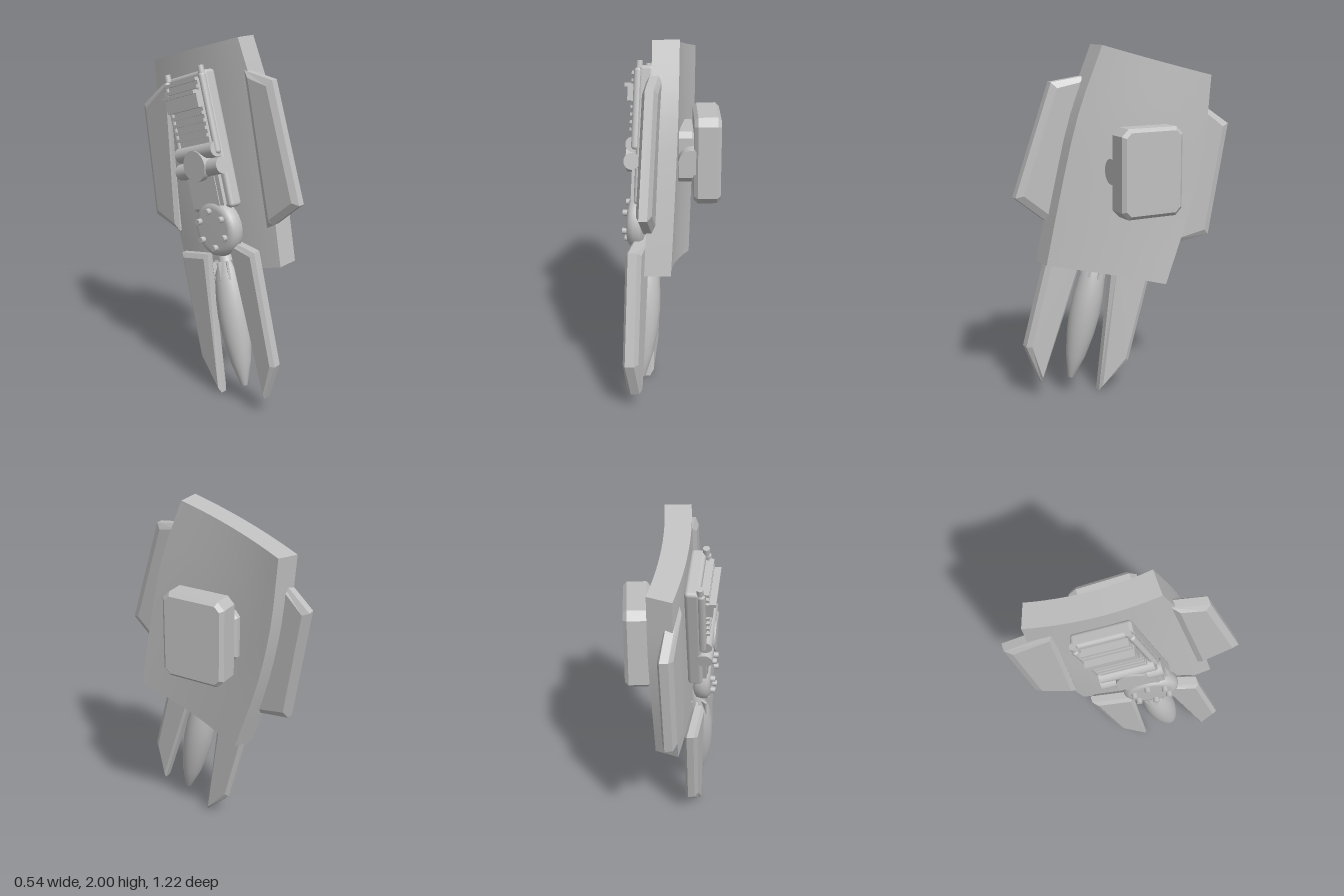
import * as THREE from 'three';
import { RoundedBoxGeometry } from 'three/addons/geometries/RoundedBoxGeometry.js';

const V = (x, y, z) => new THREE.Vector3(x, y, z);

export function createModel() {
  const model = new THREE.Group();
  const grey = new THREE.MeshStandardMaterial({ color: 0xbfbfbf });
  grey.name = 'plain grey';

  const add = (parent, name, geometry, x = 0, y = 0, z = 0) => {
    const mesh = new THREE.Mesh(geometry, grey);
    mesh.name = name;
    mesh.position.set(x, y, z);
    parent.add(mesh);
    return mesh;
  };
  const box = (w, h, d) => new THREE.BoxGeometry(w, h, d);

  // Chamfered slab from an outline of [z, y] points, sheared in x
  const slab = (name, points, thickness, bevel, xAt) => {
    const shape = new THREE.Shape(points.map(([z, y]) => new THREE.Vector2(z, y)));
    const chamfer = 0.018;
    const depth = thickness - 2 * chamfer;
    const geo = new THREE.ExtrudeGeometry(shape, {
      depth, bevelThickness: chamfer, bevelSize: bevel, bevelOffset: -bevel, bevelSegments: 1,
    });
    geo.translate(0, 0, -depth / 2);
    geo.rotateY(-Math.PI / 2);
    const p = geo.attributes.position;
    for (let i = 0; i < p.count; i++) p.setX(i, p.getX(i) + xAt(p.getZ(i), p.getY(i)));
    geo.computeVertexNormals();
    return add(model, name, geo);
  };

  // Curved main plate, lofted between its front and back edges
  const frontEdge = new THREE.CatmullRomCurve3(
    [V(0.04, 2, 0.17), V(0.03, 1.64, 0.31), V(0.01, 1.2, 0.415), V(-0.01, 0.83, 0.49)]);
  const backEdge = new THREE.CatmullRomCurve3(
    [V(0.145, 1.83, -0.45), V(0.14, 1.45, -0.415), V(0.125, 1.1, -0.34), V(0.105, 0.66, -0.195)]);
  const plate = new THREE.BoxGeometry(1, 1, 1, 1, 9, 12);
  const pos = plate.attributes.position;
  for (let i = 0; i < pos.count; i++) {
    const u = 0.5 - pos.getZ(i), t = 0.5 - pos.getY(i), inner = 0.5 - pos.getX(i);
    const q = frontEdge.getPoint(t).lerp(backEdge.getPoint(t), u);
    q.x -= 0.12 * u * (1 - u) + inner * (0.14 - 0.015 * u);
    q.y -= inner * 0.01 * u;
    q.z -= inner * 0.045 * u;
    pos.setXYZ(i, q.x, q.y, q.z);
  }
  plate.computeVertexNormals();
  add(model, 'mainPlate', plate);

  // Side wings
  slab('frontWing', [[0.22, 1.835], [0.4, 1.03], [0.44, 1.05], [0.612, 1.19], [0.41, 1.805]],
    0.08, 0.035, (z, y) => -0.115 - 0.14 * (z - 0.41) + 0.015 * (y - 1.8));
  slab('backWing', [[-0.36, 1.73], [-0.605, 1.55], [-0.5, 0.912], [-0.28, 0.86]],
    0.08, 0.035, (z) => 0.067 - 0.25 * (z + 0.605));

  // Lower blades
  slab('frontBlade', [[0.17, 0.93], [0.455, 0.09], [0.535, 0.31], [0.38, 0.91]],
    0.085, 0.025, (z, y) => -0.205 - 0.26 * (z - 0.4) - 0.03 * (y - 0.5));
  slab('backBlade', [[0.02, 0.81], [-0.21, 0.76], [-0.055, 0.17], [0.117, 0]],
    0.075, 0.025, (z, y) => -0.145 - 0.25 * (z - 0.117) - 0.03 * y);

  // Tapered dart between the blades
  const dart = new THREE.Group();
  dart.name = 'dart';
  dart.position.set(-0.17, 0.1, 0.278);
  dart.quaternion.setFromUnitVectors(V(0, 1, 0), V(0.03, 0.7, -0.155).normalize());
  model.add(dart);
  const profile = [[0, 0], [0.018, 0], [0.058, 0.14], [0.08, 0.28], [0.088, 0.4],
    [0.085, 0.5], [0.07, 0.64], [0.04, 0.71], [0.03, 0.78], [0, 0.78]];
  add(dart, 'dartBody', new THREE.LatheGeometry(profile.map(([r, y]) => new THREE.Vector2(r, y)), 28));
  for (let i = 0; i < 4; i++) {
    const fin = add(dart, 'dartFin', box(0.15, 0.1, 0.012), 0, 0.66, 0);
    fin.rotation.y = (i * Math.PI) / 4;
  }

  // Tilted frame on the plate: local z points outward, local y up the plate
  const out = V(-0.985, 0, -0.17).normalize();
  const up = V(0.05, 0.955, -0.29);
  up.addScaledVector(out, -up.dot(out)).normalize();
  const basis = new THREE.Matrix4().makeBasis(up.clone().cross(out), up, out);
  const tilted = (name, x, y, z) => {
    const g = new THREE.Group();
    g.name = name;
    g.position.set(x, y, z);
    g.quaternion.setFromRotationMatrix(basis);
    model.add(g);
    return g;
  };

  // Launcher: base, rails, louvres, shelf and cross rollers
  const launcher = tilted('launcher', -0.135, 1.43, -0.035);
  add(launcher, 'launcherBase', new RoundedBoxGeometry(0.32, 0.74, 0.08, 2, 0.02), 0, 0, -0.01);
  add(launcher, 'upperBlock', box(0.24, 0.4, 0.03), 0, 0.13, 0.04);
  for (const s of [-1, 1]) {
    const rail = add(launcher, 'sideRail', new THREE.CapsuleGeometry(0.018, 0.4, 4, 12), s * 0.145, 0.14, 0.035);
    rail.scale.z = 1.2;
    add(launcher, 'topStud', new THREE.CylinderGeometry(0.018, 0.018, 0.04, 12), s * 0.14, 0.375, 0.03);
    add(launcher, 'lowerRail', box(0.03, 0.2, 0.03), s * 0.11, -0.25, 0.035);
  }
  for (const y of [0.33, 0.29, 0.15, 0.11, 0.07, 0.03]) {
    add(launcher, 'louvre', box(0.25, 0.018, 0.025), 0, y, 0.06);
  }
  add(launcher, 'shelf', box(0.26, 0.09, 0.045), 0, 0.225, 0.068);
  add(launcher, 'shelfLip', box(0.26, 0.02, 0.035), 0, 0.265, 0.09);
  for (const [y, r, w] of [[-0.05, 0.042, 0.3], [-0.14, 0.045, 0.34]]) {
    const roller = add(launcher, 'crossRoller', new THREE.CylinderGeometry(r, r, w, 20), 0, y, 0.045);
    roller.rotation.z = Math.PI / 2;
  }
  const hub = add(launcher, 'rollerHub', new THREE.CylinderGeometry(0.085, 0.085, 0.06, 28), 0, -0.12, 0.065);
  hub.rotation.x = Math.PI / 2;
  add(launcher, 'lowerBlock', box(0.19, 0.16, 0.04), 0, -0.27, 0.035);

  // Round cap with a ring of studs
  const cap = tilted('roundCap', -0.185, 0.985, 0.11);
  const rim = [[0, -0.05], [0.13, -0.05], [0.15, -0.035], [0.155, 0], [0.148, 0.025],
    [0.13, 0.04], [0.11, 0.042], [0, 0.042]];
  add(cap, 'capDisc', new THREE.LatheGeometry(rim.map(([r, y]) => new THREE.Vector2(r, y)), 36))
    .rotation.x = Math.PI / 2;
  for (let i = 0; i < 6; i++) {
    const a = (i / 6) * Math.PI * 2 + 0.5;
    add(cap, 'capStud', new THREE.CylinderGeometry(0.017, 0.017, 0.04, 12),
      0.1 * Math.cos(a), 0.1 * Math.sin(a), 0.048).rotation.x = Math.PI / 2;
  }

  // Grip pad with its chamfered mount and hinge pin
  const chamferBox = (w, h, d, c, cd) => {
    const a = w / 2, b = h / 2;
    const s = new THREE.Shape([[-a + c, -b], [a - c, -b], [a, -b + c], [a, b - c],
      [a - c, b], [-a + c, b], [-a, b - c], [-a, -b + c]].map(([x, y]) => new THREE.Vector2(x, y)));
    const g = new THREE.ExtrudeGeometry(s, {
      depth: d - 2 * cd, bevelThickness: cd, bevelSize: cd, bevelOffset: -cd, bevelSegments: 1,
    });
    g.translate(0, 0, cd - d / 2);
    g.rotateY(Math.PI / 2);
    return g;
  };
  add(model, 'gripPad', chamferBox(0.37, 0.485, 0.145, 0.04, 0.02), 0.192, 1.333, -0.02);
  add(model, 'padMount', chamferBox(0.29, 0.285, 0.1, 0.03, 0.015), 0.075, 1.333, -0.065);
  const pin = add(model, 'hingePin', new THREE.CylinderGeometry(0.07, 0.07, 0.35, 28), 0.105, 1.333, -0.02);
  pin.rotation.x = Math.PI / 2;

  return model;
}
